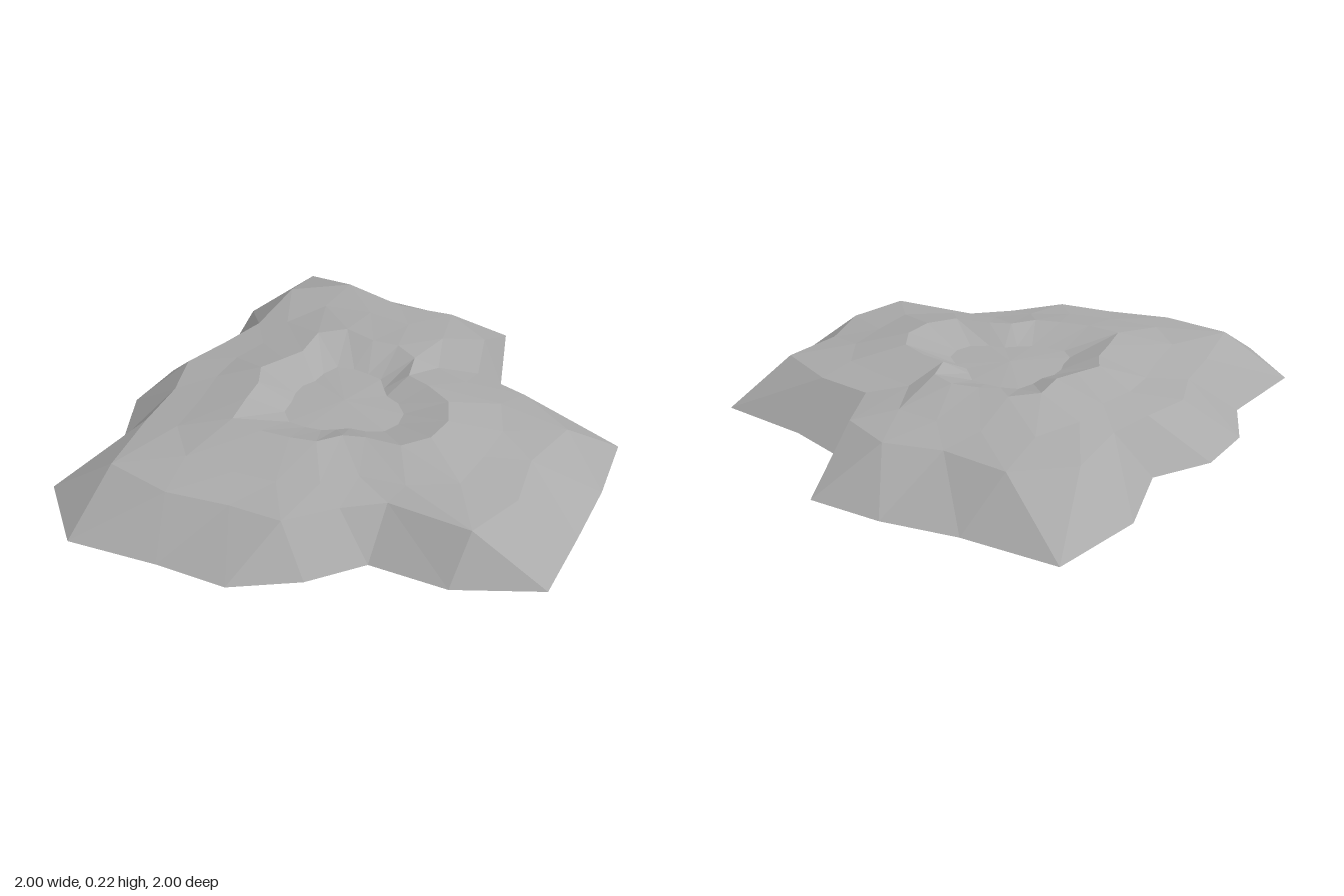
import * as THREE from 'three';

// Low-poly crater mound: staggered rings of 22 points around an off-centre axis
const SIDES = 22;
const STEP = (Math.PI * 2) / SIDES;
const CENTER = { x: 0.07, z: -0.04 };

// Radius per spoke, counted from +x towards +z
const FOOT = [0.69, 0.75, 0.985, 0.94, 0.95, 1.04, 0.865, 0.68, 0.773, 0.878, 0.918,
  1.082, 1.047, 0.797, 0.814, 0.791, 0.715, 0.94, 1.143, 0.964, 0.936, 0.94];
const SHOULDER = [0.68, 0.53, 0.65, 0.79, 0.71, 0.78, 0.80, 0.56, 0.57, 0.67, 0.675,
  0.77, 0.86, 0.70, 0.62, 0.64, 0.605, 0.63, 0.81, 0.82, 0.70, 0.73];
const RIM = [0.33, 0.25, 0.30, 0.37, 0.40, 0.40, 0.37, 0.28, 0.26, 0.31, 0.33,
  0.37, 0.42, 0.345, 0.31, 0.335, 0.30, 0.295, 0.385, 0.40, 0.34, 0.35];

// Radii halfway between neighbouring spokes, scaled inwards
const between = (radii, scale) => radii.map((r, i) => scale * (r + radii[(i + 1) % SIDES]) / 2);

const terrace = between(SHOULDER, 0.77);
terrace[0] = 0.4;

// Rings from the ground to the pit; shift is the half-step stagger
const RINGS = [
  { radii: FOOT, y: 0, shift: 0.5 },
  { radii: SHOULDER, y: 0.155, shift: 0 },
  { radii: terrace, y: 0.18, shift: 0.5 },
  { radii: RIM, y: 0.222, shift: 0 },
  { radii: between(RIM, 0.57), y: 0.172, shift: 0.5 },
];

function ringPoint(ring, i) {
  const k = (i + SIDES) % SIDES;
  const a = (k + ring.shift) * STEP;
  const r = ring.radii[k];
  return [CENTER.x + r * Math.cos(a), ring.y, CENTER.z + r * Math.sin(a)];
}

// Zigzag band of triangles between two staggered rings
function addBand(out, lower, upper) {
  for (let i = 0; i < SIDES; i++) {
    const a = ringPoint(lower, i);
    const b = ringPoint(lower, i + 1);
    if (lower.shift > 0) {
      const c = ringPoint(upper, i + 1);
      out.push(...a, ...c, ...b, ...a, ...ringPoint(upper, i), ...c);
    } else {
      const c = ringPoint(upper, i);
      out.push(...a, ...c, ...b, ...a, ...ringPoint(upper, i - 1), ...c);
    }
  }
}

function makeMesh(name, positions, material) {
  const geometry = new THREE.BufferGeometry();
  geometry.setAttribute('position', new THREE.Float32BufferAttribute(positions, 3));
  geometry.computeVertexNormals();
  const mesh = new THREE.Mesh(geometry, material);
  mesh.name = name;
  return mesh;
}

export function createModel() {
  const group = new THREE.Group();
  group.name = 'craterMound';
  const stone = new THREE.MeshStandardMaterial({ color: 0xaaaaaa, flatShading: true, side: THREE.DoubleSide });
  stone.name = 'grey stone';

  // Slopes, raised rim and inner wall
  const names = ['outerSlope', 'shoulder', 'rimSlope', 'pitWall'];
  names.forEach((name, i) => {
    const positions = [];
    addBand(positions, RINGS[i], RINGS[i + 1]);
    group.add(makeMesh(name, positions, stone));
  });

  // Pit floor fan with a slight central rise
  const floor = [];
  const last = RINGS[RINGS.length - 1];
  for (let i = 0; i < SIDES; i++) {
    floor.push(...ringPoint(last, i), CENTER.x, 0.182, CENTER.z, ...ringPoint(last, i + 1));
  }
  group.add(makeMesh('pitFloor', floor, stone));
  return group;
}
